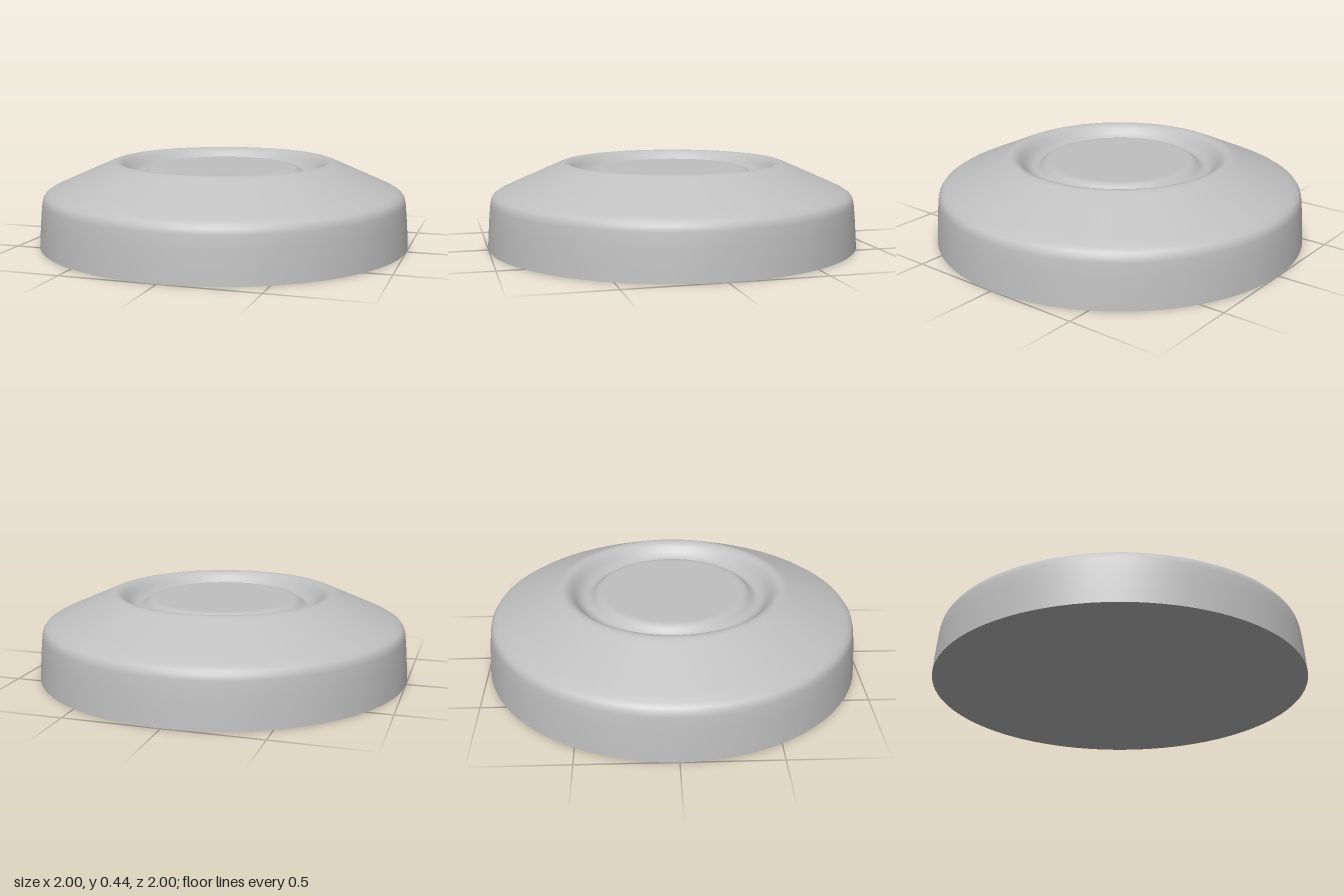
import * as THREE from 'three';

// Points [radius, height] to a smooth closed-round surface
function turned(name, points, material) {
  const profile = points.map(([r, y]) => new THREE.Vector2(r, y));
  const mesh = new THREE.Mesh(new THREE.LatheGeometry(profile, 128), material);
  mesh.name = name;
  return mesh;
}

export function createModel() {
  const group = new THREE.Group();
  group.name = 'roundCap';
  const grey = new THREE.MeshStandardMaterial({ color: 0xc0c0c0 });
  grey.name = 'plain grey';

  // Slightly tapered side wall, rounded shoulder and sloping top
  // followed by the soft rim, ring groove and raised centre disc
  group.add(turned('body', [
    [1, 0], [0.995, 0.08], [0.988, 0.17], [0.981, 0.235], [0.975, 0.26],
    [0.963, 0.277], [0.94, 0.292], [0.9, 0.311], [0.64, 0.426], [0.615, 0.437],
    [0.597, 0.443], [0.58, 0.444], [0.56, 0.438], [0.54, 0.423], [0.52, 0.401],
    [0.5, 0.382], [0.48, 0.371], [0.46, 0.368], [0.445, 0.372], [0.43, 0.383],
    [0.415, 0.397], [0.4, 0.407], [0.385, 0.411], [0.36, 0.412], [0, 0.412],
  ], grey));

  // Flat underside
  const base = new THREE.Mesh(new THREE.CircleGeometry(1, 128), grey);
  base.rotation.x = Math.PI / 2;
  base.name = 'underside';
  group.add(base);
  return group;
}
